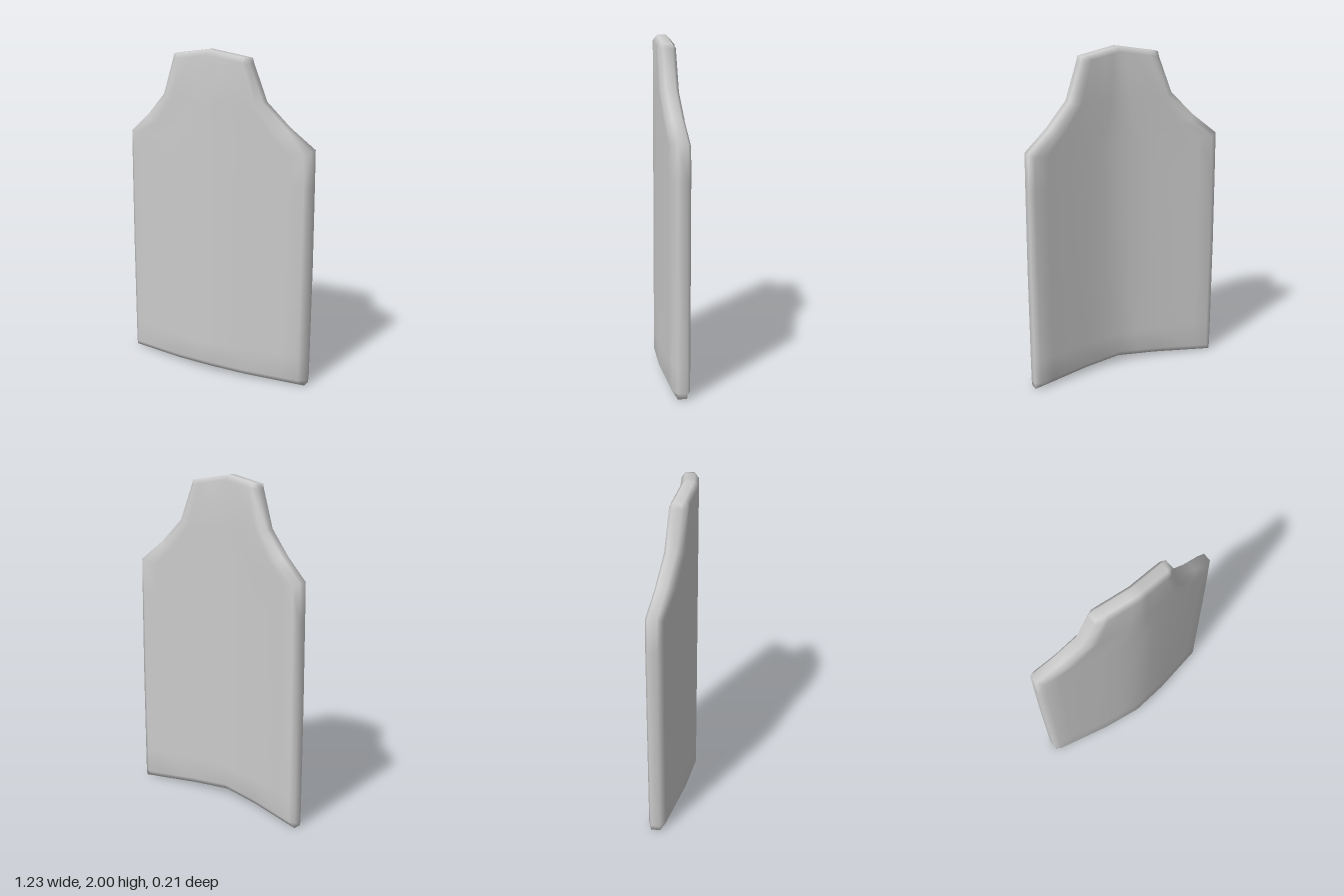
import * as THREE from 'three';

// Rows from hem to collar: outer half-width, outer y, inset half-width, inset y
const ROWS = [
  [0.608, 0.005, 0.578, 0.005],
  [0.612, 0.04, 0.578, 0.04],
  [0.613, 0.2, 0.578, 0.2],
  [0.615, 0.75, 0.58, 0.75],
  [0.612, 1.25, 0.58, 1.25],
  [0.61, 1.455, 0.575, 1.435],
  [0.465, 1.575, 0.44, 1.545],
  [0.33, 1.715, 0.3, 1.7],
  [0.252, 1.93, 0.22, 1.93],
  [0.245, 1.96, 0.215, 1.96],
];
// Column positions inside the rim, as fractions of the inset half-width
const HALF = [0.2, 0.42, 0.85, 1];
const COLS = [...HALF.map((f) => -f).reverse(), 0, ...HALF];
const NR = ROWS.length, NC = COLS.length + 2;

// Depth of the plate's middle surface: a shallow keel swept back to the sides
function fold(x) {
  const a = Math.abs(x);
  return a < 0.235 ? 0.054 - a * 0.125 : 0.0246 - (a - 0.235) * 0.215;
}

// Hem and collar edges rise towards the centre line
function arch(row, x, w) {
  const t = 1 - Math.min(1, Math.abs(x) / w);
  if (row < 2) return 0.036 * t;
  return row >= NR - 2 ? 0.04 * t : 0;
}

function plateGeometry() {
  const pos = [], index = [];
  const id = (side, i, j) => (side * NR + i) * NC + j;

  // Front and back skins, thinner at the outer rim to form the bevel
  for (const s of [1, -1]) {
    ROWS.forEach(([w, y, iw, iy], i) => {
      for (let j = 0; j < NC; j++) {
        const outer = j === 0 || j === NC - 1;
        const rim = outer || i === 0 || i === NR - 1;
        const x = outer ? (j ? w : -w) : COLS[j - 1] * iw;
        pos.push(x, (outer ? y : iy) + arch(i, x, w), fold(x) + s * (rim ? 0.027 : 0.051));
      }
    });
  }
  for (let i = 0; i < NR - 1; i++) {
    for (let j = 0; j < NC - 1; j++) {
      for (const side of [0, 1]) {
        const a = id(side, i, j), b = id(side, i, j + 1);
        const c = id(side, i + 1, j + 1), d = id(side, i + 1, j);
        if (side === 0) index.push(a, b, c, a, c, d);
        else index.push(a, c, b, a, d, c);
      }
    }
  }

  // Edge wall joining the two skins around the outline
  const loop = [];
  for (let j = 0; j < NC - 1; j++) loop.push([0, j]);
  for (let i = 0; i < NR - 1; i++) loop.push([i, NC - 1]);
  for (let j = NC - 1; j > 0; j--) loop.push([NR - 1, j]);
  for (let i = NR - 1; i > 0; i--) loop.push([i, 0]);
  loop.forEach((p, k) => {
    const q = loop[(k + 1) % loop.length];
    const a = id(0, ...p), b = id(0, ...q), c = id(1, ...p), d = id(1, ...q);
    index.push(a, c, b, b, c, d);
  });

  const geo = new THREE.BufferGeometry();
  geo.setAttribute('position', new THREE.Float32BufferAttribute(pos, 3));
  geo.setIndex(index);
  geo.computeVertexNormals();
  return geo;
}

export function createModel() {
  const group = new THREE.Group();
  const plate = new THREE.Mesh(plateGeometry(), new THREE.MeshStandardMaterial({ color: 0xcccccc }));
  plate.name = 'chestPlate';
  group.add(plate);
  return group;
}
